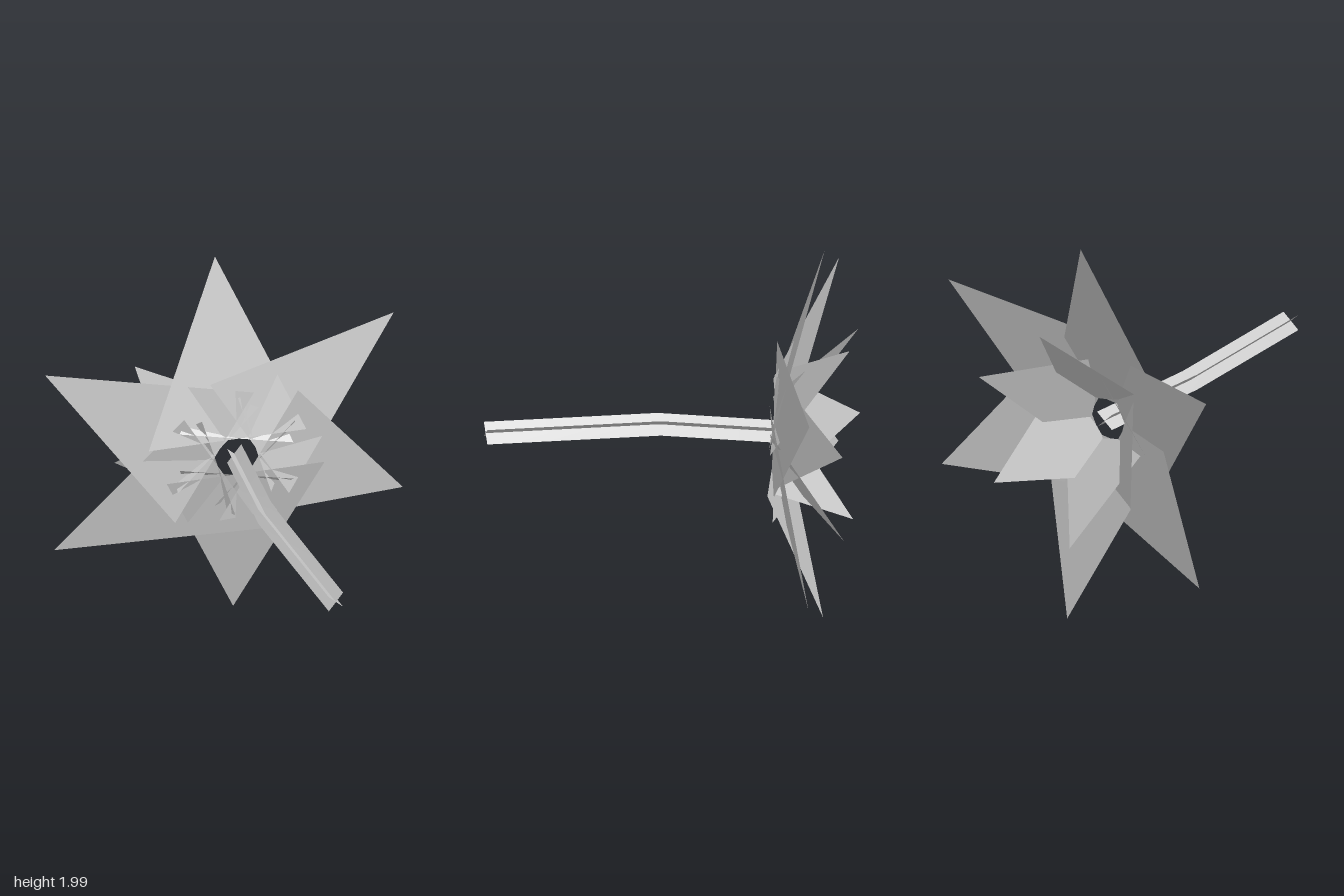
import * as THREE from 'three';

const material = new THREE.MeshStandardMaterial({ color: 0xcccccc, side: THREE.DoubleSide });

function surface(name, points, index) {
  const geometry = new THREE.BufferGeometry();
  geometry.setAttribute('position', new THREE.Float32BufferAttribute(points, 3));
  geometry.setIndex(index);
  geometry.computeVertexNormals();
  const mesh = new THREE.Mesh(geometry, material);
  mesh.name = name;
  return mesh;
}

// Ring of six flat triangular petals that rise from a shared base plane
function petalRing(name, { startAngle, baseRadius, halfWidth, shift, tipRadius, tipHeight }) {
  const ring = new THREE.Group();
  ring.name = name + 's';
  for (let i = 0; i < 6; i++) {
    const petal = surface(name, [
      baseRadius, shift - halfWidth, 0,
      baseRadius, shift + halfWidth, 0,
      tipRadius, shift, -tipHeight,
    ], [0, 1, 2]);
    petal.rotation.z = THREE.MathUtils.degToRad(startAngle + i * 60);
    ring.add(petal);
  }
  return ring;
}

// Bent stem made of two crossed ribbons
function createStem() {
  const path = [[-0.35, 1.005, 0.925], [-0.235, 1.018, 0.1], [-0.065, 1.005, -0.46]];
  const half = 0.04;
  const stem = new THREE.Group();
  stem.name = 'stem';
  for (const side of [1, -1]) {
    const points = [], index = [];
    path.forEach(([x, y, z], i) => {
      points.push(x - half, y - half * side, z, x + half, y + half * side, z);
      if (i > 0) {
        const a = 2 * i - 2;
        index.push(a, a + 1, a + 2, a + 1, a + 3, a + 2);
      }
    });
    stem.add(surface('stemRibbon', points, index));
  }
  return stem;
}

export function createModel() {
  const model = new THREE.Group();
  model.name = 'flower';
  model.add(createStem());

  // Blossom, tilted to follow the end of the stem
  const blossom = new THREE.Group();
  blossom.name = 'blossom';
  blossom.position.set(-0.07, 1.005, -0.43);
  blossom.rotation.y = -0.295;
  blossom.add(petalRing('outerPetal', {
    startAngle: 30, baseRadius: 0.1, halfWidth: 0.39, shift: 0.045, tipRadius: 0.996, tipHeight: 0.235,
  }));
  blossom.add(petalRing('innerPetal', {
    startAngle: 16.5, baseRadius: 0.1, halfWidth: 0.29, shift: 0.025, tipRadius: 0.537, tipHeight: 0.367,
  }));
  model.add(blossom);
  return model;
}
